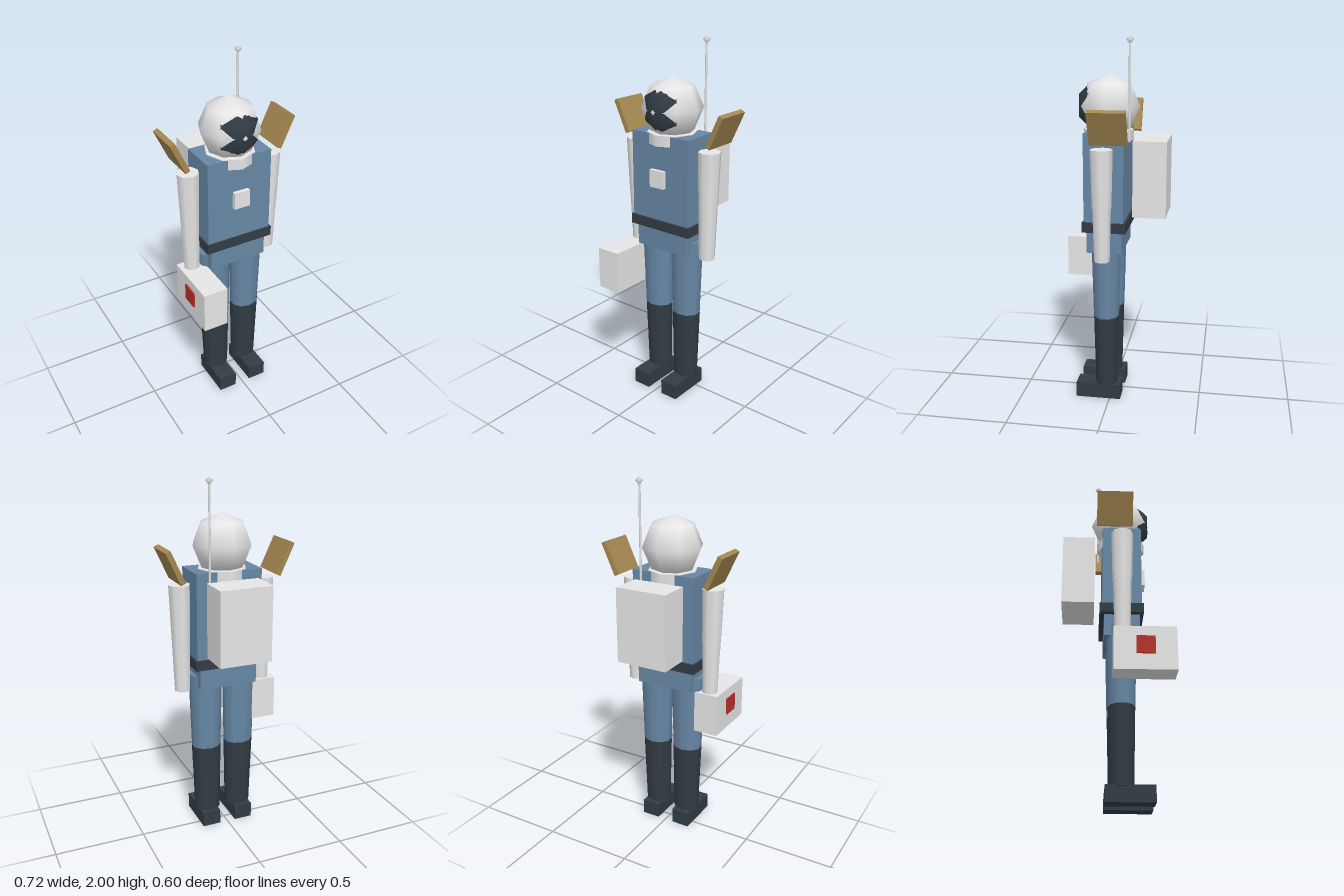
import * as THREE from 'three';

export function createModel() {
  const root = new THREE.Group();
  const mat = (name, color) => {
    const m = new THREE.MeshStandardMaterial({ color });
    m.name = name;
    return m;
  };
  const white = mat('suit white', 0xe6e6e6);
  const blue = mat('suit blue', 0x6787a5);
  const dark = mat('dark charcoal', 0x323c44);
  const tan = mat('pad tan', 0xa58850);
  const red = mat('marker red', 0xb5322a);

  const add = (name, geometry, material, x = 0, y = 0, z = 0) => {
    const mesh = new THREE.Mesh(geometry, material);
    mesh.name = name;
    mesh.position.set(x, y, z);
    root.add(mesh);
    return mesh;
  };

  // Box given by its low and high bounds on each axis
  const box = (name, material, [x0, x1], [y0, y1], [z0, z1]) =>
    add(name, new THREE.BoxGeometry(x1 - x0, y1 - y0, z1 - z0), material,
      (x0 + x1) / 2, (y0 + y1) / 2, (z0 + z1) / 2);

  // Tapered limb section, sheared so both ends stay level
  const limb = (name, material, yTop, yBottom, xTop, xBottom, rTop, rBottom, sides, depth) => {
    const h = yTop - yBottom;
    const g = new THREE.CylinderGeometry(rTop, rBottom, h, sides);
    g.scale(1, 1, depth);
    const lean = (xTop - xBottom) / h;
    g.applyMatrix4(new THREE.Matrix4().set(
      1, lean, 0, 0, 0, 1, 0, 0, 0, 0, 1, 0, 0, 0, 0, 1));
    return add(name, g, material, (xTop + xBottom) / 2, (yTop + yBottom) / 2, 0.024);
  };

  // Body
  box('torso', blue, [-0.185, 0.185], [1.03, 1.51], [-0.081, 0.131]);
  box('belt', dark, [-0.195, 0.195], [0.985, 1.04], [-0.094, 0.14]);
  box('pelvis', blue, [-0.165, 0.165], [0.865, 0.99], [-0.07, 0.12]);
  box('chestPanel', white, [-0.045, 0.045], [1.23, 1.325], [0.138, 0.16]);
  add('collar', new THREE.CylinderGeometry(0.135, 0.135, 0.058, 8), white, 0, 1.484, 0.025);

  // Helmet and wraparound visor
  add('helmet', new THREE.SphereGeometry(0.165, 8, 4), white, 0, 1.636, 0.023);
  const visor = new THREE.PlaneGeometry(1, 1, 5, 3);
  const profile = [[-0.105, 0.099], [-0.06, 0.138], [-0.024, 0.159],
    [0.024, 0.159], [0.06, 0.138], [0.105, 0.099]];
  const rows = [0.12, 0.06, -0.06, -0.12];
  for (let r = 0; r < 4; r++) {
    const outer = r === 0 || r === 3;
    profile.forEach(([x, z], c) => visor.attributes.position.setXYZ(
      r * 6 + c, outer ? x * 0.65 : x, rows[r], outer ? z - 0.06 : z));
  }
  visor.computeVertexNormals();
  add('visor', visor, dark, 0, 1.636, 0.023);

  // Backpack and antenna
  box('backpack', white, [-0.145, 0.145], [1.065, 1.47], [-0.3, -0.123]);
  add('antenna', new THREE.CylinderGeometry(0.006, 0.006, 0.51, 6), white, 0.12, 1.715, -0.103);
  add('antennaTip', new THREE.SphereGeometry(0.022, 5, 2), white, 0.12, 1.978, -0.103);

  // Mirrored limbs and shoulder pads
  for (const [side, s] of [['left', 1], ['right', -1]]) {
    limb(side + 'UpperArm', white, 1.44, 1.14, s * 0.243, s * 0.239, 0.06, 0.052, 8, 1);
    limb(side + 'Forearm', white, 1.14, 0.845, s * 0.239, s * 0.235, 0.052, 0.044, 8, 0.95);
    limb(side + 'Leg', blue, 0.93, 0.49, s * 0.1, s * 0.098, 0.095, 0.083, 10, 0.86);
    limb(side + 'Boot', dark, 0.49, 0.08, s * 0.098, s * 0.094, 0.084, 0.073, 10, 0.84);
    box(side + 'Foot', dark, [s * 0.099 - 0.052, s * 0.099 + 0.052], [0, 0.086], [-0.06, 0.189]);
    const pad = add(side + 'ShoulderPad', new THREE.BoxGeometry(0.028, 0.188, 0.195), tan,
      s * 0.306, 1.557, -0.017);
    pad.rotation.z = -s * 0.435;
  }

  // Carried case with a marker on its outer side
  box('case', white, [-0.304, -0.166], [0.62, 0.855], [-0.025, 0.298]);
  box('caseMarker', red, [-0.312, -0.303], [0.705, 0.8], [0.09, 0.187]);

  return root;
}
